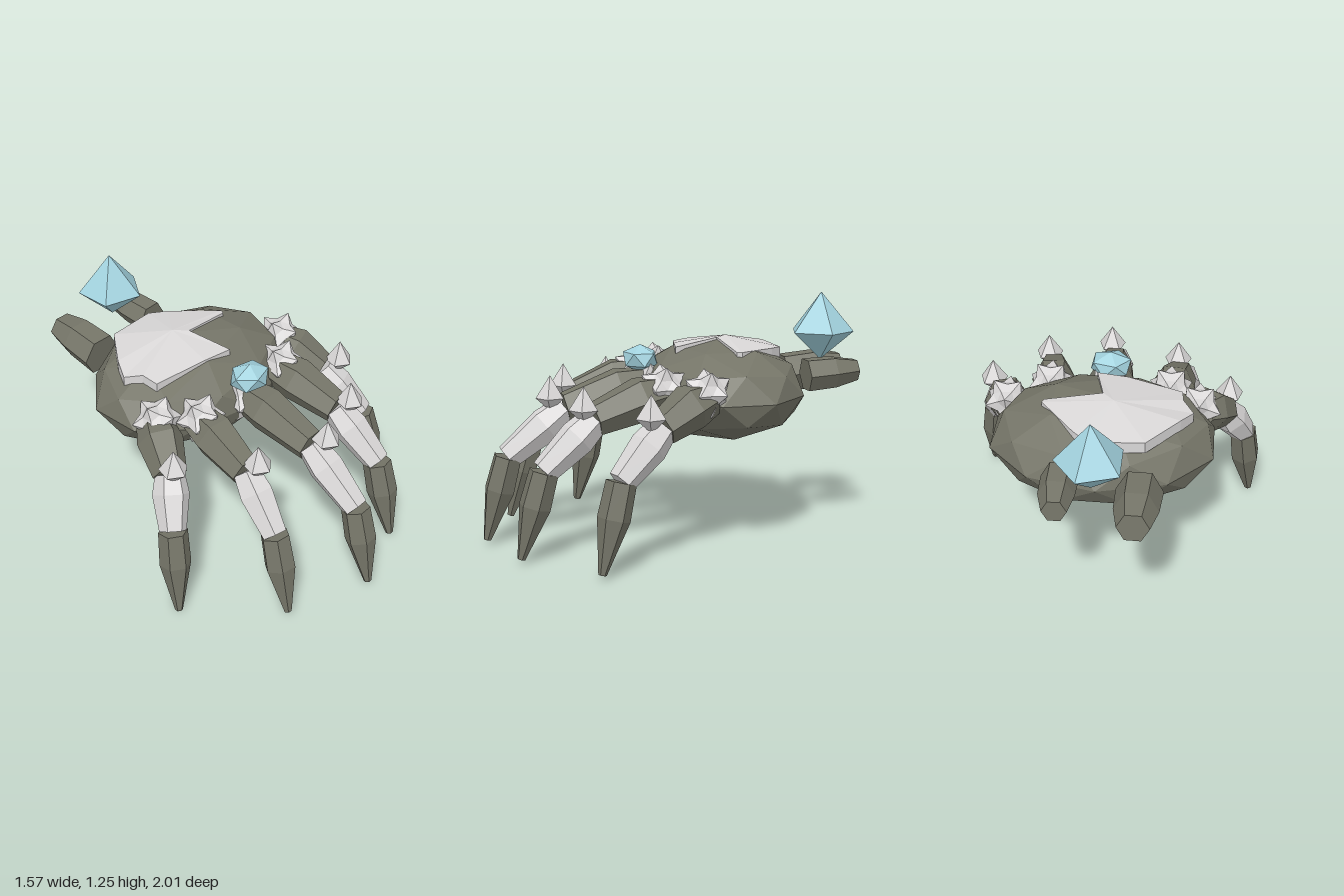
import * as THREE from 'three';

const mat = (name, color) => {
  const m = new THREE.MeshStandardMaterial({ color, flatShading: true });
  m.name = name;
  return m;
};
const V = (a) => new THREE.Vector3(...a);

function geometryFrom(positions) {
  const g = new THREE.BufferGeometry();
  g.setAttribute('position', new THREE.Float32BufferAttribute(positions, 3));
  g.computeVertexNormals();
  return g;
}

// Faceted limb: rings of given radius round each path point, with closed ends
function limb(points, radii, side, sides = 6) {
  const d = points[points.length - 1].clone().sub(points[0]).normalize();
  const u = side.clone().addScaledVector(d, -side.dot(d)).normalize();
  const v = d.clone().cross(u);
  const ps = [points[0], ...points, points[points.length - 1]];
  const rs = [0, ...radii, 0];
  const at = (i, j) => {
    const a = (j / sides) * Math.PI * 2;
    return ps[i].clone().addScaledVector(u, rs[i] * Math.cos(a)).addScaledVector(v, rs[i] * Math.sin(a));
  };
  const out = [];
  const tri = (...t) => t.forEach((p) => out.push(p.x, p.y, p.z));
  for (let i = 0; i < ps.length - 1; i++) {
    for (let j = 0; j < sides; j++) {
      const a = at(i, j), b = at(i, j + 1), c = at(i + 1, j + 1), e = at(i + 1, j);
      if (rs[i] > 0) tri(a, b, c);
      if (rs[i + 1] > 0) tri(a, c, e);
    }
  }
  return geometryFrom(out);
}

// Five-sided crystal: a long point above and a short one below its girdle
function crystal(r, down, up, phi = 0) {
  const profile = [[0, -down], [r, 0], [0, up]].map((p) => new THREE.Vector2(...p));
  return new THREE.LatheGeometry(profile, 5, phi);
}

// Squashed icosahedron standing on one of its corners
function poledIco(detail, rx, ry, rz) {
  const g = new THREE.IcosahedronGeometry(1, detail);
  g.rotateZ(Math.atan2(1, (1 + Math.sqrt(5)) / 2));
  return g.scale(rx, ry, rz);
}

// Subdivided icosahedron whose corner points are pushed out into spikes
function spikyKnuckle(r) {
  const g = new THREE.IcosahedronGeometry(1, 1);
  const corners = new THREE.IcosahedronGeometry(1, 0).attributes.position;
  const p = g.attributes.position, v = new THREE.Vector3(), c = new THREE.Vector3();
  for (let i = 0; i < p.count; i++) {
    v.fromBufferAttribute(p, i);
    let corner = false;
    for (let k = 0; k < corners.count; k++) corner ||= c.fromBufferAttribute(corners, k).distanceTo(v) < 0.01;
    v.multiplyScalar(corner ? r : r * 0.7);
    p.setXYZ(i, v.x, v.y, v.z);
  }
  g.computeVertexNormals();
  return g;
}

export function createModel() {
  const root = new THREE.Group();
  root.name = 'stoneHand';
  const stone = mat('dark stone', 0x757568);
  const pale = mat('pale stone', 0xd9d7d7);
  const ice = mat('blue crystal', 0xa3d3df);
  const add = (parent, name, geo, material, pos = [0, 0, 0]) => {
    const m = new THREE.Mesh(geo, material);
    m.name = name;
    m.position.set(...pos);
    parent.add(m);
  };

  // Palm: squashed icosphere with its pole upward
  add(root, 'palm', poledIco(1, 0.586, 0.255, 0.44), stone, [0.03, 0.77, -0.24]);

  // Pale plate on the back of the hand: a fan with a short skirt
  const apex = [-0.03, 1.04, -0.3];
  const rim = [
    [-0.36, 0.988, -0.37], [-0.2, 0.985, -0.56], [0.07, 0.98, -0.57], [0.15, 0.985, -0.5],
    [0.33, 0.995, -0.28], [0.32, 0.995, -0.255], [0.03, 1.036, -0.235], [0.08, 0.998, 0.0],
    [-0.08, 1.0, -0.03], [-0.36, 0.972, -0.1], [-0.365, 0.985, -0.19], [-0.42, 0.965, -0.27],
  ];
  const plate = [];
  rim.forEach((a, i) => {
    const b = rim[(i + 1) % rim.length];
    const low = ([x, y, z]) => [x, y - 0.06, z];
    plate.push(...apex, ...b, ...a, ...a, ...b, ...low(b), ...a, ...low(b), ...low(a));
  });
  add(root, 'backPlate', geometryFrom(plate), pale);

  // Fingers: base, knuckle, claw top, claw tip, knuckle spike, base knuckle
  const fingers = [
    ['rightOuter', [-0.44, 0.81, -0.05], [-0.575, 0.68, 0.18], [-0.69, 0.46, 0.3], [-0.745, 0.01, 0.38], [-0.6, 0.75, 0.23], [-0.445, 0.835, -0.02]],
    ['rightInner', [-0.28, 0.815, 0.08], [-0.33, 0.7, 0.46], [-0.382, 0.46, 0.69], [-0.407, 0.03, 0.81], [-0.315, 0.76, 0.52], [-0.29, 0.835, 0.13]],
    ['middle', [0.035, 0.815, 0.1], [0.037, 0.7, 0.57], [0.035, 0.46, 0.87], [0.03, 0.03, 0.985], [0.06, 0.76, 0.65], [0.03, 0.8, 0.14]],
    ['leftInner', [0.32, 0.815, 0.08], [0.37, 0.7, 0.48], [0.4, 0.46, 0.74], [0.403, 0.03, 0.86], [0.4, 0.755, 0.54], [0.34, 0.835, 0.13]],
    ['leftOuter', [0.53, 0.81, -0.05], [0.615, 0.69, 0.2], [0.69, 0.46, 0.42], [0.742, 0.03, 0.525], [0.67, 0.75, 0.27], [0.54, 0.835, -0.04]],
  ];
  for (const [name, b, k, c, t, s, n] of fingers) {
    const f = new THREE.Group();
    f.name = name + 'Finger';
    root.add(f);
    const [B, K, C, T] = [b, k, c, t].map(V);
    const side = new THREE.Vector3(T.z - B.z, 0, B.x - T.x).normalize();
    const swell = B.clone().lerp(K, 0.4).add(V([0, 0.015, 0]));
    add(f, 'fingerBase', limb([B, swell, K], [0.09, 0.117, 0.086], side), stone);
    add(f, 'fingerMiddle', limb([K, K.clone().lerp(C, 0.35), C], [0.075, 0.093, 0.068], side), pale);
    add(f, 'claw', limb([C, C.clone().lerp(T, 0.4), T], [0.074, 0.08, 0.02], side), stone);
    add(f, 'knuckleSpike', crystal(0.075, 0.07, 0.115), pale, s);
    add(f, 'baseKnuckle', spikyKnuckle(name === 'middle' ? 0.145 : 0.13), pale, n);
  }

  // Small crystal above the middle finger
  add(root, 'smallCrystal', poledIco(0, 0.118, 0.073, 0.098), ice, [0.027, 0.94, 0.175]);

  // Two stubs behind the palm and the large crystal floating over them
  const across = new THREE.Vector3(1, 0, 0);
  add(root, 'rightStub', limb([V([-0.185, 0.795, -0.68]), V([-0.18, 0.82, -0.86]), V([-0.175, 0.832, -1])], [0.115, 0.108, 0.078], across), stone);
  add(root, 'leftStub', limb([V([0.195, 0.845, -0.67]), V([0.195, 0.855, -0.82]), V([0.19, 0.862, -0.95])], [0.092, 0.088, 0.06], across), stone);
  add(root, 'largeCrystal', crystal(0.175, 0.15, 0.21, Math.PI / 2), ice, [0.033, 1.05, -0.81]);

  return root;
}
